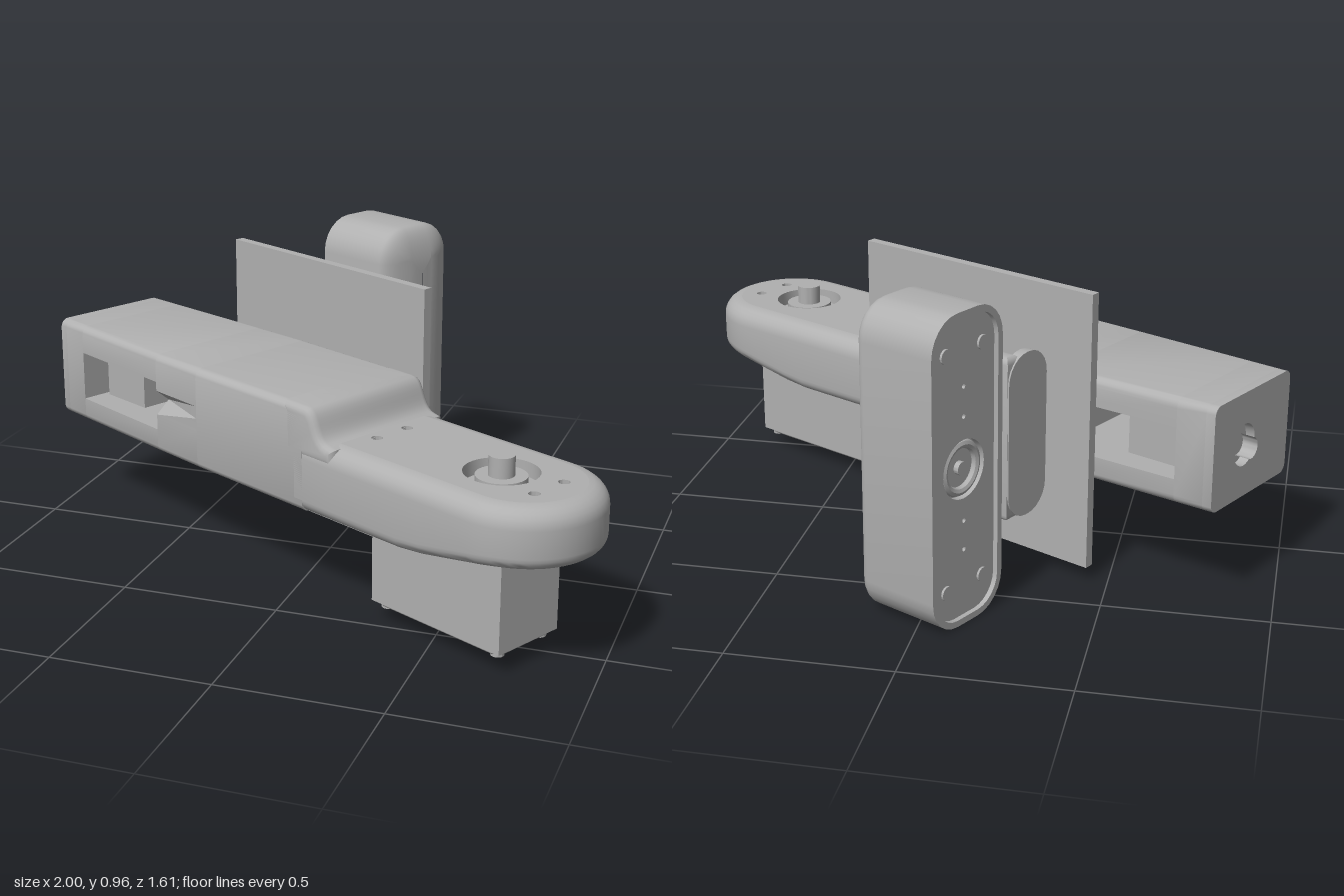
import * as THREE from 'three';
import { toCreasedNormals } from 'three/addons/utils/BufferGeometryUtils.js';

const V = (x, y) => new THREE.Vector2(x, y);
const N = 6; // steps per rounded corner

// Rounded rectangle, counter-clockwise, with separate top and bottom radii
function roundRect(x0, y0, x1, y1, rt, rb = rt) {
  const pts = [];
  const corners = [[x1 - rt, y1 - rt, rt], [x0 + rt, y1 - rt, rt], [x0 + rb, y0 + rb, rb], [x1 - rb, y0 + rb, rb]];
  corners.forEach(([cx, cy, r], q) => {
    const n = r > 0 ? N : 0;
    for (let i = 0; i <= n; i++) {
      const a = (q + (n ? i / n : 0)) * Math.PI / 2;
      pts.push(V(cx + r * Math.cos(a), cy + r * Math.sin(a)));
    }
  });
  return pts;
}

// Prism from z = 0 to depth; holes are [x, y, radius]
function prism(pts, depth, holes = [], bevel = 0) {
  const shape = new THREE.Shape(pts);
  for (const [x, y, r] of holes) shape.holes.push(new THREE.Path().absarc(x, y, r, 0, Math.PI * 2, true));
  return new THREE.ExtrudeGeometry(shape, {
    depth: depth - 2 * bevel, bevelEnabled: bevel > 0, bevelSize: bevel, bevelThickness: bevel,
    bevelOffset: -bevel, bevelSegments: 4, curveSegments: 16,
  }).translate(0, 0, bevel);
}
// Prism drawn in (x, z), filling y0..y1
const alongY = (pts, y0, y1, holes, bevel) => prism(pts, y1 - y0, holes, bevel).rotateX(Math.PI / 2).translate(0, y1, 0);
// Prism drawn in (-z, y) about zc, filling x0..x1
const alongX = (pts, x0, x1, zc, holes, bevel) => prism(pts, x1 - x0, holes, bevel).rotateY(Math.PI / 2).translate(x0, 0, zc);

// Skin over a stack of matching loops
function loft(rings, closed) {
  const pos = [], n = rings[0].length;
  for (let i = 0; i + 1 < rings.length; i++) {
    for (let j = 0; j < (closed ? n : n - 1); j++) {
      const k = (j + 1) % n;
      const [a, b, c, d] = [rings[i][j], rings[i][k], rings[i + 1][k], rings[i + 1][j]];
      pos.push(...a, ...b, ...d, ...b, ...c, ...d);
    }
  }
  const g = new THREE.BufferGeometry();
  g.setAttribute('position', new THREE.Float32BufferAttribute(pos, 3));
  g.computeVertexNormals();
  return g;
}

// Body narrows toward its far end; the thumb groove fades out
function taper(g) {
  const p = g.attributes.position;
  for (let i = 0; i < p.count; i++) {
    const x = p.getX(i);
    let dz = p.getZ(i) - 0.15;
    if (Math.abs(p.getY(i) - 0.4901) < 1e-4 && x > -0.3) dz = 0.235;
    const t = THREE.MathUtils.clamp((x + 0.94) / 0.69, 0, 1);
    p.setZ(i, 0.153 - 0.003 * t + dz * (0.885 + 0.115 * t));
  }
  return g;
}

export function createModel() {
  const grey = new THREE.MeshStandardMaterial({ color: 0xb0b0b0 });
  const model = new THREE.Group();
  model.name = 'mountedArm';
  const frame = new THREE.Group();
  frame.name = 'turnedAssembly';
  frame.rotation.y = -27.5 * Math.PI / 180;
  model.add(frame);
  const add = (name, geo, parent = frame) => {
    const m = new THREE.Mesh(toCreasedNormals(geo, 0.6), grey);
    m.name = name;
    parent.add(m);
    return m;
  };
  const box = (x0, x1, y0, y1, z0, z1) => new THREE.BoxGeometry(x1 - x0, y1 - y0, z1 - z0)
    .translate((x0 + x1) / 2, (y0 + y1) / 2, (z0 + z1) / 2);
  const cylY = (x, z, r, y0, y1) => new THREE.CylinderGeometry(r, r, y1 - y0, 28).translate(x, (y0 + y1) / 2, z);
  const cylX = (y, z, r, x0, x1) => new THREE.CylinderGeometry(r, r, x1 - x0, 28).rotateZ(Math.PI / 2).translate((x0 + x1) / 2, y, z);

  // Body: solid ends with rails above and below a through window
  const body = new THREE.Group();
  body.name = 'body';
  frame.add(body);
  const W = 0.235, R = 0.03;
  const full = roundRect(-W, 0.32, W, 0.65, R);
  add('bodyEndFace', taper(alongX(full, -0.94, -0.91, 0.15, [[0.045, 0.485, 0.066]])), body);
  add('bodyEndBlock', taper(alongX(full, -0.91, -0.815, 0.15)), body);
  add('windowTopRail', taper(alongX(roundRect(-W, 0.56, W, 0.65, R, 0), -0.815, -0.405, 0.15)), body);
  add('windowBottomRail', taper(alongX(roundRect(-W, 0.32, W, 0.40, 0, R), -0.815, -0.405, 0.15)), body);
  const grooved = full.slice();
  grooved.splice(2 * (N + 1), 0, V(-W, 0.53), V(-W + 0.05, 0.4901), V(-W, 0.45));
  add('groovedBlock', taper(alongX(grooved, -0.405, -0.2, 0.15)), body);
  add('mainBlock', taper(alongX(full, -0.2, 0.285, 0.15)), body);

  // Curved step down to the arm
  const step = [V(0.2, 0.49), V(0.41, 0.49), V(0.41, 0.545)];
  const curve = new THREE.CubicBezierCurve(V(0.385, 0.55), V(0.33, 0.555), V(0.345, 0.65), V(0.29, 0.65));
  step.push(...curve.getPoints(10), V(0.2, 0.65));
  add('bodyStep', prism(step, 2 * W, [], 0.025).translate(0, 0, 0.15 - W), body);

  // Tensioner seen in the window, and its end knob
  add('tensionerBlock', box(-0.795, -0.6, 0.40, 0.55, 0.02, 0.28), body);
  add('tensionerRod', cylX(0.485, 0.105, 0.03, -0.83, -0.79), body);
  add('endKnob', cylX(0.485, 0.105, 0.033, -0.92, -0.97), body);

  // Arm shell: rounded nose, hollow underneath, underside rising at the nose
  const arm = new THREE.Group();
  arm.name = 'arm';
  frame.add(arm);
  const nose = (inset, left) => {
    const pts = [V(left, 0.15 - W + inset)];
    for (let i = 0; i <= 6; i++) pts.push(V(0.4 + i * 0.535 / 6, 0.15 - W + inset));
    for (let i = 1; i < 28; i++) {
      const a = (i / 28 - 0.5) * Math.PI;
      pts.push(V(0.935 + (W - inset) * Math.cos(a), 0.15 + (W - inset) * Math.sin(a)));
    }
    for (let i = 6; i >= 0; i--) pts.push(V(0.4 + i * 0.535 / 6, 0.15 + W - inset));
    pts.push(V(left, 0.15 + W - inset));
    return pts;
  };
  const armRing = (inset, y, low, left = 0.25) => nose(inset, left)
    .map(p => [p.x, y + low * 0.05 * THREE.MathUtils.smoothstep(p.x, 0.65, 1.05), p.y]);
  const rings = [];
  for (let i = 0; i <= 6; i++) {
    const a = i / 6 * Math.PI / 2;
    rings.push(armRing(0.06 * (1 - Math.sin(a)), 0.49 + 0.06 * Math.cos(a), 0));
  }
  for (let i = 0; i <= 6; i++) {
    const a = i / 6 * Math.PI / 2;
    rings.push(armRing(0.04 * (1 - Math.cos(a)), 0.36 - 0.04 * Math.sin(a), 1));
  }
  rings.push(armRing(0.06, 0.32, 1, 0.36), armRing(0.06, 0.5, 0, 0.36));
  add('armShell', loft(rings, true), arm);
  const screws = [];
  for (const x of [0.425, 1.025]) for (const z of [0.09, 0.215]) screws.push([x, z, 0.017]);
  add('armTopPlate', alongY(nose(0.06, 0.25), 0.5, 0.55, [...screws, [0.853, 0.153, 0.11]]), arm);

  // Motor with mounting ears, lid and output shaft
  const motor = new THREE.Group();
  motor.name = 'motor';
  frame.add(motor);
  add('motorCase', box(0.475, 0.975, 0.07, 0.505, 0.031, 0.281), motor);
  add('motorEars', alongY(roundRect(0.385, 0.031, 1.065, 0.281, 0.02), 0.46, 0.5, screws), motor);
  add('motorLid', alongY(roundRect(0.487, 0.043, 0.963, 0.269, 0.03), 0.055, 0.075, [], 0.008), motor);
  for (const x of [0.51, 0.94]) for (const z of [0.066, 0.246]) add('lidScrew', cylY(x, z, 0.02, 0.05, 0.07), motor);
  add('shaftCollar', cylY(0.853, 0.153, 0.075, 0.5, 0.54), motor);
  add('outputShaft', cylY(0.853, 0.153, 0.038, 0.5, 0.6), motor);

  // Upright mounting plate
  add('mountingPlate', box(-0.55, 0.32, 0.05, 0.92, -0.115, -0.085));

  // Bracket behind the plate
  const bracket = new THREE.Group();
  bracket.name = 'bracket';
  frame.add(bracket);
  const bend = [V(-0.39, -0.303)];
  for (let i = 0; i <= 8; i++) {
    const a = (i / 8 - 1) * Math.PI / 2;
    bend.push(V(0.105 + 0.08 * Math.cos(a), -0.223 + 0.08 * Math.sin(a)));
  }
  bend.push(V(0.185, -0.2), V(0.125, -0.2), V(0.115, -0.245), V(-0.39, -0.245));
  add('bracketPanel', alongY(bend, 0.22, 0.74, [], 0.022), bracket);
  add('bracketLeg', alongX(roundRect(-0.09, 0.22, 0.09, 0.74, 0.085), -0.395, -0.365, -0.212), bracket);
  const lug = [V(0.105, -0.22)];
  lug.push(V(0.19, -0.22));
  for (let i = 0; i <= 10; i++) lug.push(V(0.147 + 0.043 * Math.cos(i * Math.PI / 10), -0.158 + 0.043 * Math.sin(i * Math.PI / 10)));
  add('hingeLug', alongY(lug, 0.39, 0.57, [[0.147, -0.158, 0.018]]), bracket);

  // Swivel joint between the bracket and the rear pod
  const swivel = [[0, 0], [0.07, 0], [0.085, 0.015], [0.085, 0.03], [0.065, 0.035], [0.065, 0.05], [0.08, 0.055], [0.08, 0.12], [0, 0.12]];
  add('swivelJoint', new THREE.LatheGeometry(swivel.map(p => V(...p)), 28).rotateX(-Math.PI / 2).translate(-0.278, 0.48, -0.295));

  // Rear pod: tall rounded case with a domed face and a recessed back
  const pod = new THREE.Group();
  pod.name = 'rearPod';
  frame.add(pod);
  const podOutline = d => roundRect(-0.155 + d, 0.004 + d, 0.155 - d, 0.96 - d, Math.max(0.11 - d, 0.0005));
  const podRing = (d, x) => podOutline(d).map(p => [x, p.y, p.x - 0.535]);
  const podRings = [];
  for (let i = 10; i >= 0; i--) {
    const a = i / 10 * Math.PI / 2;
    podRings.push(podRing(0.154 * (1 - Math.cos(a)), -0.18 + 0.06 * Math.sin(a)));
  }
  podRings.push(podRing(0, -0.432), podRing(0.02, -0.432), podRing(0.02, -0.41));
  add('podCase', loft(podRings, true), pod);
  const pins = [-0.25, -0.16, 0.16, 0.25].map(y => [0, 0.482 + y, 0.007]);
  add('podBackPanel', alongX(podOutline(0.02), -0.417, -0.395, -0.535, [[0, 0.482, 0.09], ...pins]), pod);
  add('podSocketFloor', box(-0.396, -0.38, 0.1, 0.86, -0.65, -0.42), pod);
  add('podSocketRing', new THREE.TorusGeometry(0.072, 0.014, 8, 32).rotateY(Math.PI / 2).translate(-0.4, 0.482, -0.535), pod);
  add('podSocketPin', cylX(0.482, -0.535, 0.02, -0.412, -0.39), pod);
  for (const y of [-0.36, 0.36]) for (const z of [-0.08, 0.08]) {
    add('podScrew', cylX(0.482 + y, -0.535 + z, 0.022, -0.424, -0.4), pod);
  }

  // Slot surround on the domed face
  const slot = new THREE.Shape(roundRect(-0.032, 0.185, 0.032, 0.325, 0.031));
  slot.holes.push(new THREE.Path(roundRect(-0.022, 0.195, 0.022, 0.315, 0.021)));
  add('podSlot', new THREE.ExtrudeGeometry(slot, { depth: 0.008, bevelEnabled: false })
    .rotateY(Math.PI / 2).translate(-0.125, 0, -0.535), pod);

  return model;
}
